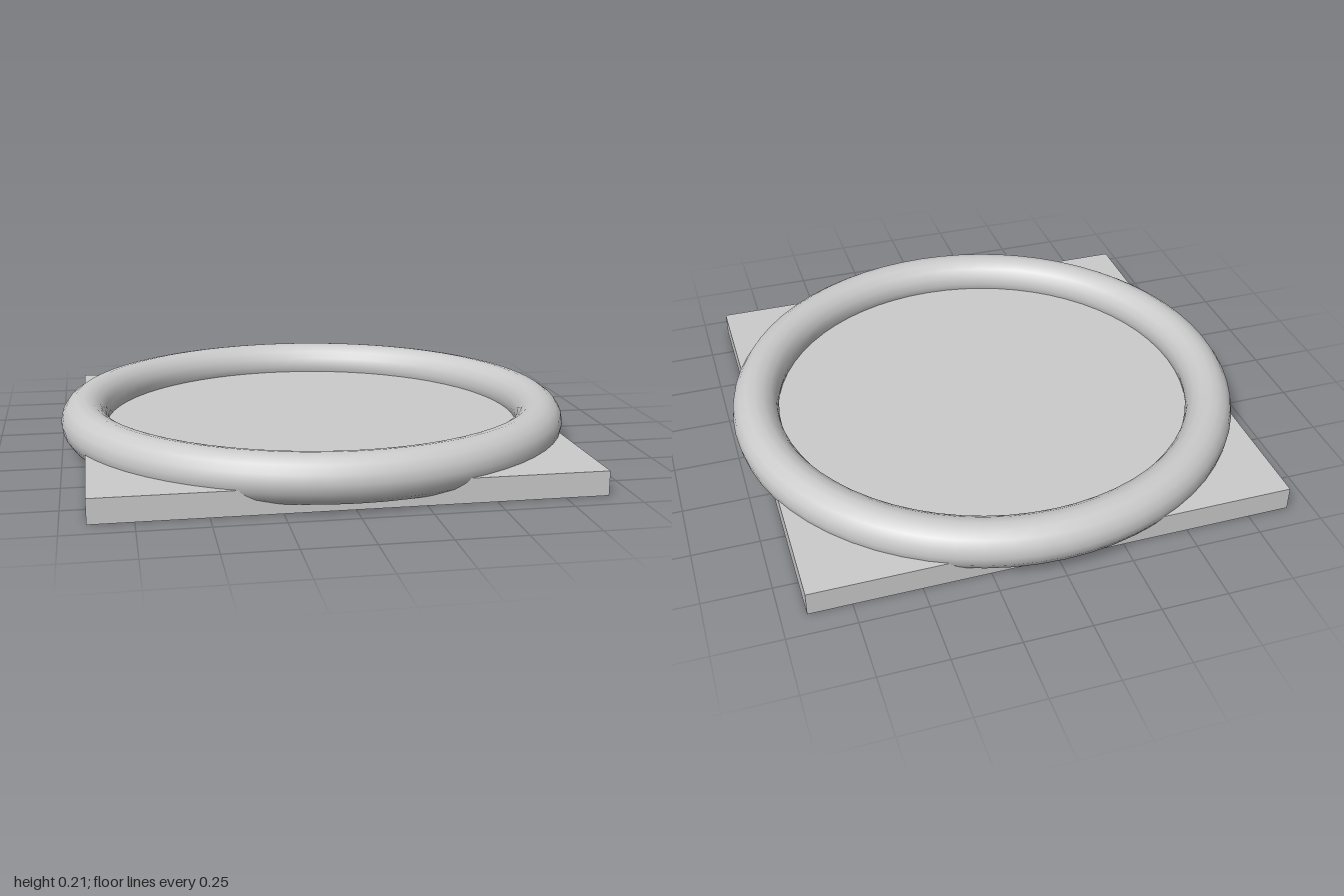
import * as THREE from 'three';

export function createModel() {
  const model = new THREE.Group();
  const material = new THREE.MeshStandardMaterial({ color: 0xcccccc });
  const add = (name, geometry, y) => {
    const mesh = new THREE.Mesh(geometry, material);
    mesh.name = name;
    mesh.position.y = y;
    model.add(mesh);
  };

  const ringRadius = 0.909;
  const tubeRadius = 0.091;
  const plateHeight = 0.091;

  // Square base slab
  add('basePlate', new THREE.BoxGeometry(2 * ringRadius, plateHeight, 2 * ringRadius), plateHeight / 2);

  // Round rim lying flat, partly sunk into the slab
  add('ring', new THREE.TorusGeometry(ringRadius, tubeRadius, 16, 64).rotateX(-Math.PI / 2), 0.118);

  return model;
}
